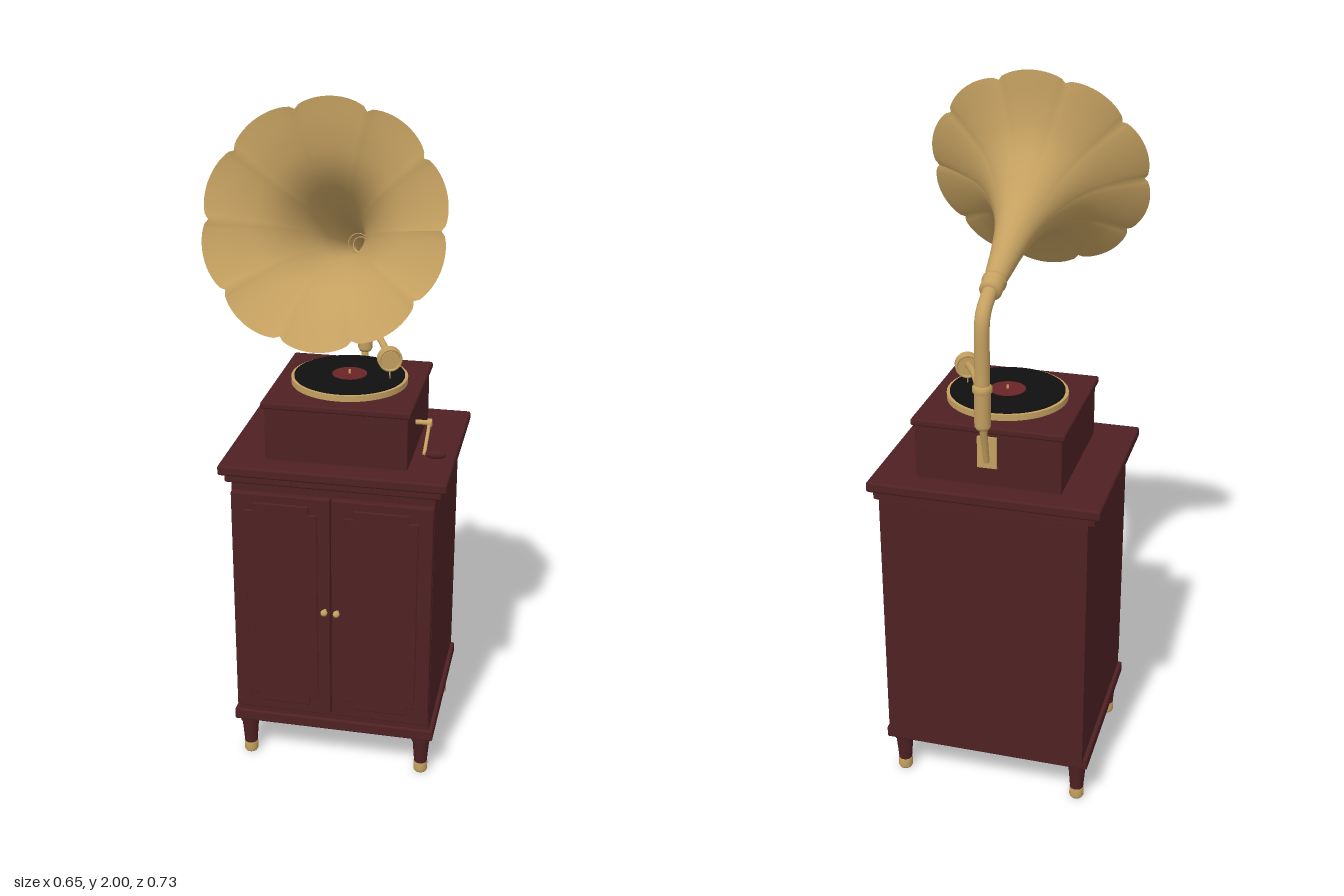
import * as THREE from 'three';
import { RoundedBoxGeometry } from 'three/addons/geometries/RoundedBoxGeometry.js';

const V = (x, y, z) => new THREE.Vector3(x, y, z);

export function createModel() {
  const model = new THREE.Group();
  model.name = 'gramophone';
  const mat = (name, color, side = THREE.FrontSide) => {
    const m = new THREE.MeshStandardMaterial({ color, side });
    m.name = name;
    return m;
  };
  const wood = mat('mahogany', 0x4f2123);
  const brass = mat('brass', 0xc4a060, THREE.DoubleSide);
  const black = mat('record black', 0x101010);
  const red = mat('label red', 0x6a2426);

  const add = (name, geo, material, pos = V(0, 0, 0)) => {
    const m = new THREE.Mesh(geo, material);
    m.name = name;
    m.position.copy(pos);
    model.add(m);
    return m;
  };
  // Box given by its limits, with softened edges when r > 0
  const box = (name, x0, x1, y0, y1, z0, z1, r = 0, material = wood) => {
    const s = [x1 - x0, y1 - y0, z1 - z0];
    const geo = r ? new RoundedBoxGeometry(...s, 2, r) : new THREE.BoxGeometry(...s);
    return add(name, geo, material, V((x0 + x1) / 2, (y0 + y1) / 2, (z0 + z1) / 2));
  };
  // Round rod between two points
  const rod = (name, a, b, ra, rb = ra, material = brass) => {
    const d = b.clone().sub(a);
    const m = add(name, new THREE.CylinderGeometry(rb, ra, d.length(), 32), material,
      a.clone().add(b).multiplyScalar(0.5));
    m.quaternion.setFromUnitVectors(V(0, 1, 0), d.normalize());
    return m;
  };
  const lathe = (name, pts, material, pos) =>
    add(name, new THREE.LatheGeometry(pts.map(p => new THREE.Vector2(...p)), 32), material, pos);

  // Cabinet
  box('cabinetBody', -0.29, 0.29, 0.16, 0.93, -0.355, 0.16);
  box('baseMoulding', -0.302, 0.302, 0.13, 0.165, -0.345, 0.168, 0.005);
  box('topMoulding', -0.308, 0.308, 0.925, 0.955, -0.353, 0.172, 0.006);
  box('cabinetTop', -0.324, 0.324, 0.95, 0.98, -0.364, 0.186, 0.007);

  // Doors with notched raised panels and knobs
  const w = 0.102, h = 0.325, n = 0.025;
  const panel = new THREE.Shape([
    [-w + n, -h], [w - n, -h], [w - n, -h + n], [w, -h + n], [w, h - n], [w - n, h - n],
    [w - n, h], [-w + n, h], [-w + n, h - n], [-w, h - n], [-w, -h + n], [-w + n, -h + n],
  ].map(p => new THREE.Vector2(...p)));
  const panelGeo = new THREE.ExtrudeGeometry(panel, {
    depth: 0.002, bevelThickness: 0.003, bevelSize: 0.003, bevelSegments: 1,
  });
  for (const s of [-1, 1]) {
    const door = box('door', -0.143, 0.143, 0.19, 0.9, 0.155, 0.178, 0.004);
    door.position.x = s * 0.146;
    add('doorPanel', panelGeo, wood, V(s * 0.144, 0.547, 0.177));
    rod('knobStem', V(s * 0.018, 0.547, 0.175), V(s * 0.018, 0.547, 0.192), 0.005);
    add('knob', new THREE.SphereGeometry(0.01, 20, 14), brass, V(s * 0.018, 0.547, 0.193));
  }

  // Tapered legs with brass feet
  for (const x of [-0.264, 0.264]) for (const z of [-0.3, 0.13]) {
    lathe('leg', [[0.019, 0.03], [0.025, 0.105], [0.029, 0.11], [0.029, 0.132]], wood, V(x, 0, z));
    lathe('brassFoot', [[0, 0], [0.018, 0], [0.021, 0.006], [0.021, 0.03], [0.018, 0.036], [0, 0.036]],
      brass, V(x, 0, z));
  }

  // Motor case
  box('motorCase', -0.203, 0.203, 0.975, 1.14, -0.293, 0.113, 0.004);
  box('motorCaseLid', -0.212, 0.212, 1.135, 1.155, -0.302, 0.122, 0.006);

  // Turntable, record, label and spindle
  const disc = (name, y0, y1, r, material) => add(name,
    new THREE.CylinderGeometry(r, r, y1 - y0, 80), material, V(0, (y0 + y1) / 2, -0.09));
  disc('turntable', 1.157, 1.174, 0.168, brass);
  disc('record', 1.172, 1.178, 0.159, black);
  disc('recordLabel', 1.177, 1.18, 0.05, red);
  disc('spindle', 1.178, 1.19, 0.004, brass);

  // Winding crank on the model's left side
  rod('crankShaft', V(0.2, 1.07, -0.029), V(0.25, 1.07, -0.029), 0.007);
  rod('crankHub', V(0.237, 1.07, -0.029), V(0.25, 1.07, -0.029), 0.012);
  rod('crankArm', V(0.243, 1.07, -0.029), V(0.243, 1.015, 0.066), 0.005);
  rod('crankPin', V(0.238, 1.015, 0.063), V(0.26, 1.015, 0.063), 0.005);
  const handle = add('crankHandle', new THREE.SphereGeometry(1, 24, 16), wood, V(0.274, 1.015, 0.063));
  handle.scale.set(0.03, 0.013, 0.013);

  // Back bracket and support column
  box('bracketPlate', -0.027, 0.027, 1.035, 1.125, -0.3, -0.291, 0, brass);
  rod('bracketStrut', V(0, 1.055, -0.301), V(0, 1.175, -0.333), 0.008, 0.011);
  lathe('columnSocket', [[0, 1.165], [0.017, 1.165], [0.022, 1.175], [0.022, 1.265], [0.026, 1.27],
    [0.026, 1.285], [0.019, 1.29]], brass, V(0, 0, -0.333));
  const elbow = new THREE.CurvePath();
  elbow.add(new THREE.LineCurve3(V(0, 1.27, -0.333), V(0, 1.42, -0.333)));
  elbow.add(new THREE.CubicBezierCurve3(V(0, 1.42, -0.333), V(0, 1.475, -0.333),
    V(0, 1.492, -0.317), V(0, 1.517, -0.247)));
  add('elbow', new THREE.TubeGeometry(elbow, 60, 0.02, 28), brass);

  // Horn: flared lathe whose rim swells into ten lobes
  const rimCentre = V(0, 1.7, 0.256);
  const tilt = THREE.MathUtils.degToRad(70);
  const flare = new THREE.CatmullRomCurve3([
    [0.024, -0.54], [0.033, -0.46], [0.043, -0.37], [0.06, -0.272], [0.092, -0.185],
    [0.133, -0.115], [0.174, -0.073], [0.236, -0.036], [0.319, 0],
  ].map(([r, t]) => V(r, t, 0)), false, 'centripetal');
  const hornGeo = new THREE.LatheGeometry(
    flare.getPoints(56).map(p => new THREE.Vector2(p.x, p.y)), 160, Math.PI / 2);
  const pos = hornGeo.attributes.position;
  for (let i = 0; i < pos.count; i++) {
    const x = pos.getX(i), z = pos.getZ(i);
    const lobe = Math.sqrt(Math.abs(Math.sin(5 * Math.atan2(z, x))));
    const fade = Math.min(1, Math.hypot(x, z) / 0.319) ** 2;
    const k = 1 - 0.066 * fade * (1 - lobe);
    pos.setX(i, x * k);
    pos.setZ(i, z * k);
  }
  hornGeo.computeVertexNormals();
  add('horn', hornGeo, brass, rimCentre).rotation.x = tilt;

  // Collar joining horn and elbow
  const collar = lathe('hornCollar', [[0.02, -0.548], [0.027, -0.546], [0.03, -0.54], [0.03, -0.508],
    [0.033, -0.506], [0.033, -0.498], [0.027, -0.495]], brass, rimCentre);
  collar.rotation.x = tilt;

  // Tone arm and sound box
  const arm = new THREE.CatmullRomCurve3([V(0, 1.25, -0.333), V(0.025, 1.262, -0.285),
    V(0.06, 1.262, -0.205), V(0.088, 1.252, -0.145), V(0.113, 1.238, -0.09)]);
  add('toneArm', new THREE.TubeGeometry(arm, 40, 0.01, 20), brass);
  const c = V(0.117, 1.234, -0.083), dir = V(0.36, 0, 0.93);
  const along = d => c.clone().addScaledVector(dir, d);
  rod('soundBox', along(-0.011), along(0.011), 0.033);
  rod('soundBoxFace', along(0.01), along(0.015), 0.026);
  for (const d of [-0.011, 0.011]) {
    const rim = add('soundBoxRim', new THREE.TorusGeometry(0.031, 0.004, 10, 40), brass, along(d));
    rim.quaternion.setFromUnitVectors(V(0, 0, 1), dir.clone().normalize());
  }
  rod('needle', V(0.117, 1.205, -0.083), V(0.12, 1.178, -0.075), 0.003, 0.0015);

  return model;
}
